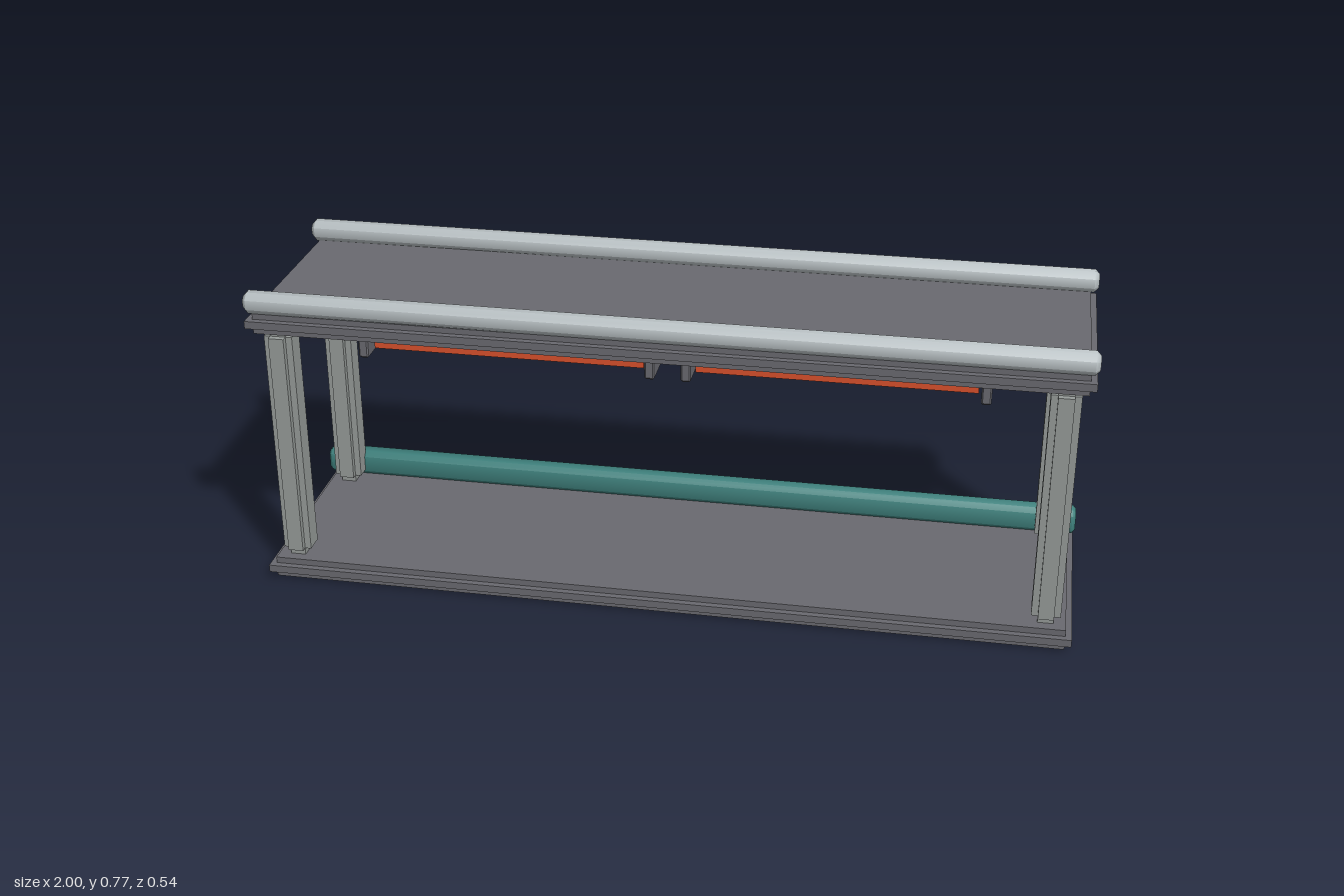
import * as THREE from 'three';
import { toCreasedNormals } from 'three/addons/utils/BufferGeometryUtils.js';

const mat = (name, color) => {
  const m = new THREE.MeshStandardMaterial({ color });
  m.name = name;
  return m;
};

export function createModel() {
  const model = new THREE.Group();
  model.name = 'shelfRack';
  const darkGrey = mat('darkGrey', 0x6a6a70);
  const midGrey = mat('midGrey', 0x969b99);
  const paleGrey = mat('paleGrey', 0xbcc4c7);
  const teal = mat('teal', 0x3f827e);
  const orange = mat('orangeRed', 0xd9502c);
  const amber = mat('amber', 0xd8912c);

  const group = (name, parent = model) => {
    const g = new THREE.Group();
    g.name = name;
    parent.add(g);
    return g;
  };
  // Box given by its centre in x and z and its bottom and top
  const box = (parent, name, m, w, d, y0, y1, x = 0, z = 0) => {
    const mesh = new THREE.Mesh(new THREE.BoxGeometry(w, y1 - y0, d), m);
    mesh.position.set(x, (y0 + y1) / 2, z);
    mesh.name = name;
    parent.add(mesh);
    return mesh;
  };
  // Bar along x with chamfered edges and ends
  const bar = (parent, name, m, length, d, y0, y1, x, z, c, crease = 1.0) => {
    const b = c * 0.7;
    const w = d / 2 - b, h = (y1 - y0) / 2 - b, k = c * 0.6;
    const s = new THREE.Shape([
      [-w + k, -h], [w - k, -h], [w, -h + k], [w, h - k],
      [w - k, h], [-w + k, h], [-w, h - k], [-w, -h + k],
    ].map(([px, py]) => new THREE.Vector2(px, py)));
    let geo = new THREE.ExtrudeGeometry(s, {
      depth: length - 2 * b, bevelEnabled: true, bevelThickness: b, bevelSize: b, bevelSegments: 1,
    });
    geo.translate(0, 0, b - length / 2);
    geo.rotateY(Math.PI / 2);
    geo = toCreasedNormals(geo, crease);
    const mesh = new THREE.Mesh(geo, m);
    mesh.position.set(x, (y0 + y1) / 2, z);
    mesh.name = name;
    parent.add(mesh);
  };

  // Two shelves, each with a projecting middle layer
  for (const [name, y] of [['bottomShelf', 0], ['topShelf', 0.669]]) {
    const shelf = group(name);
    box(shelf, 'shelfBoard', darkGrey, 1.964, 0.502, y, y + 0.053);
    box(shelf, 'shelfEdgeBand', darkGrey, 1.994, 0.534, y + 0.018, y + 0.037);
  }

  // Four posts with a cross-shaped section and a narrow core
  for (const sx of [-1, 1]) for (const sz of [-1, 1]) {
    const post = group('post');
    post.position.set(sx * 0.933, 0, sz * 0.2);
    box(post, 'postCore', midGrey, 0.038, 0.049, 0.053, 0.669);
    box(post, 'postWideRib', midGrey, 0.07, 0.049, 0.071, 0.653);
    box(post, 'postDeepRib', midGrey, 0.038, 0.08, 0.071, 0.653);
  }

  // Pale rails on the top shelf, teal kerb at the back of the lower shelf
  for (const sz of [-1, 1])
    bar(model, 'topRail', paleGrey, 2, 0.048, 0.721, 0.775, 0, sz * 0.244, 0.015);
  bar(model, 'backKerb', teal, 2, 0.054, 0.054, 0.121, 0, -0.24, 0.012);

  // Two heater units hanging under the top shelf
  for (const sx of [-1, 1]) {
    const unit = group('heaterUnit');
    unit.position.x = sx * 0.399;
    box(unit, 'housingTop', paleGrey, 0.69, 0.2, 0.645, 0.669);
    box(unit, 'housingBody', paleGrey, 0.69, 0.22, 0.608, 0.645);
    box(unit, 'glowPanel', orange, 0.672, 0.2, 0.584, 0.608);
    for (const z of [-0.066, -0.022, 0.022, 0.066])
      box(unit, 'heatingRod', amber, 0.595, 0.012, 0.574, 0.584, 0, z);
    for (const e of [-1, 1]) {
      bar(unit, 'endPlate', darkGrey, 0.024, 0.264, 0.569, 0.668, e * 0.355, 0, 0.005, 0.5);
      box(unit, 'endPlateLip', darkGrey, 0.014, 0.23, 0.612, 0.655, e * 0.338);
    }
  }
  return model;
}
